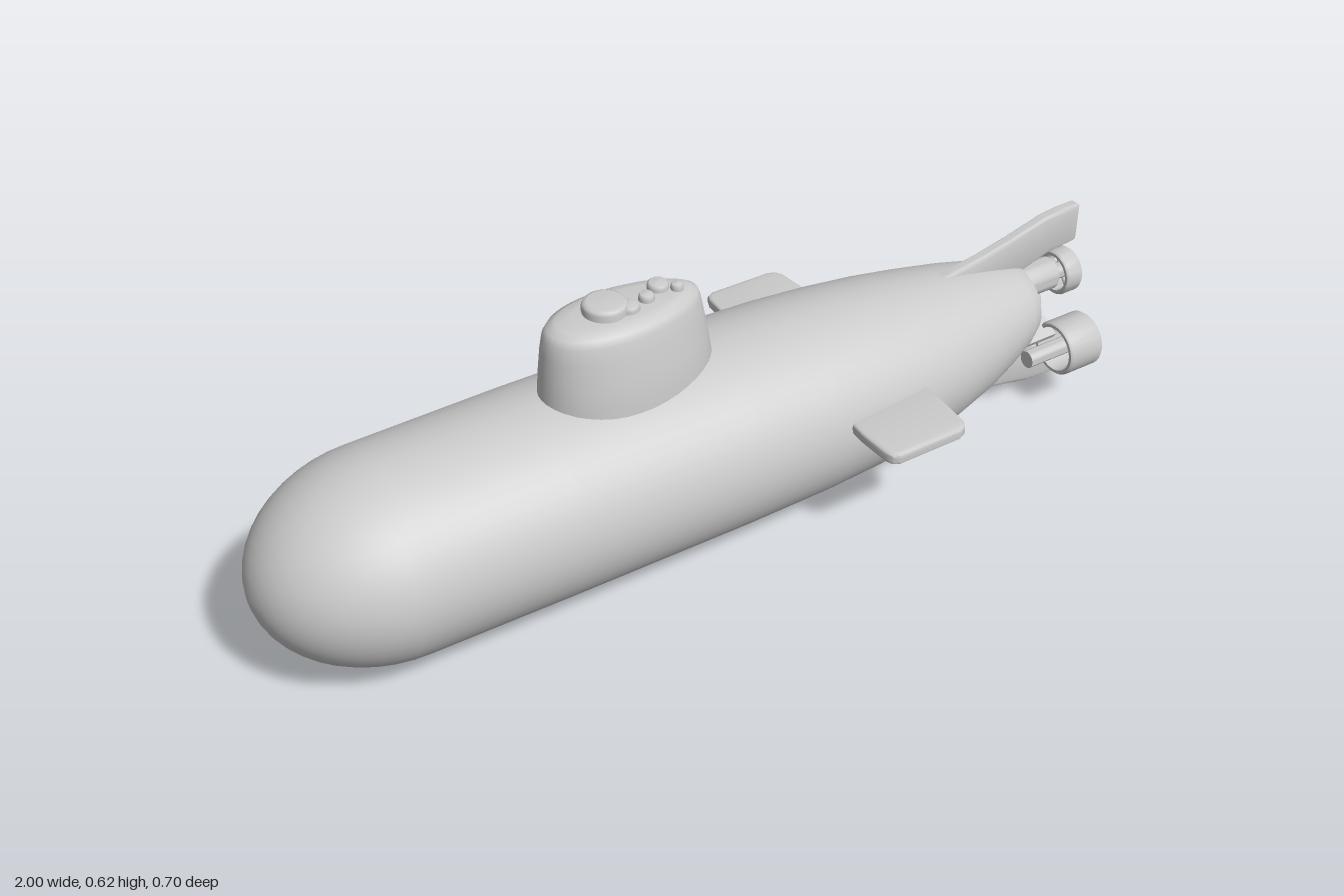
import * as THREE from 'three';
import { toCreasedNormals } from 'three/addons/utils/BufferGeometryUtils.js';

const material = new THREE.MeshStandardMaterial({ color: 0xcccccc });

function addMesh(parent, name, geometry) {
  const mesh = new THREE.Mesh(geometry, material);
  mesh.name = name;
  parent.add(mesh);
  return mesh;
}

// Skin a row of closed rings (equal point counts) into one smooth surface.
function loft(rings) {
  const n = rings[0].length;
  const index = [];
  for (let i = 0; i < rings.length - 1; i++) {
    for (let j = 0; j < n; j++) {
      const a = i * n + j, b = i * n + (j + 1) % n;
      index.push(a, a + n, b, b, a + n, b + n);
    }
  }
  const geometry = new THREE.BufferGeometry();
  geometry.setAttribute('position', new THREE.Float32BufferAttribute(rings.flat(2), 3));
  geometry.setIndex(index);
  geometry.computeVertexNormals();
  return geometry;
}

function ring(count, pointAt) {
  return Array.from({ length: count }, (_, j) => {
    const a = (j / count) * Math.PI * 2;
    return pointAt(Math.cos(a), Math.sin(a));
  });
}

// Hull: elliptical sections along x, with a round bow and a tapered stern.
function hullGeometry() {
  const sections = []; // x, top, bottom, half width
  for (let i = 0; i <= 12; i++) {
    const t = (i / 12) * Math.PI / 2, s = Math.sin(t);
    sections.push([-0.72 - 0.28 * Math.cos(t), 0.225 + 0.21 * s, 0.225 - 0.205 * s, 0.226 * s]);
  }
  sections.push(
    [-0.4, 0.44, 0.016, 0.229], [0, 0.438, 0.013, 0.229], [0.2, 0.431, 0.014, 0.224],
    [0.33, 0.421, 0.02, 0.216], [0.45, 0.408, 0.031, 0.203], [0.55, 0.394, 0.049, 0.184],
    [0.65, 0.378, 0.076, 0.159], [0.73, 0.361, 0.107, 0.133], [0.79, 0.346, 0.137, 0.111],
    [0.82, 0.336, 0.16, 0.094], [0.832, 0.32, 0.18, 0.075], [0.835, 0.25, 0.25, 0]);
  return loft(sections.map(([x, top, bottom, w]) =>
    ring(48, (c, s) => [x, (top + bottom) / 2 + s * (top - bottom) / 2, c * w])));
}

// Conning tower: egg-shaped horizontal sections rising to a rounded top.
function towerGeometry() {
  const sections = [ // y, rear x, front x, half width
    [0.39, 0.004, -0.378, 0.107], [0.44, 0.002, -0.376, 0.106], [0.49, -0.006, -0.372, 0.1],
    [0.54, -0.015, -0.367, 0.091], [0.57, -0.021, -0.362, 0.085], [0.585, -0.027, -0.353, 0.078],
    [0.594, -0.042, -0.335, 0.064], [0.597, -0.07, -0.3, 0.045], [0.598, -0.19, -0.19, 0]];
  return loft(sections.map(([y, rear, front, w]) => ring(40, (c, s) =>
    [(rear + front) / 2 + c * (rear - front) / 2, y, s * w * (1 - 0.12 * c)])));
}

// Rounded plate from an outline, centred on its own thickness.
function plate(outline, thickness) {
  const bevel = 0.009;
  const shape = new THREE.Shape(outline.map(([x, y]) => new THREE.Vector2(x, y)));
  const geometry = new THREE.ExtrudeGeometry(shape, {
    depth: thickness - 2 * bevel, bevelThickness: bevel, bevelSize: bevel,
    bevelOffset: -bevel, bevelSegments: 3
  });
  geometry.translate(0, 0, bevel - thickness / 2);
  return toCreasedNormals(geometry, 0.7);
}

// Turned part around the x axis; profile points are [radius, x].
function turned(profile, segments = 32) {
  const geometry = new THREE.LatheGeometry(profile.map(([r, x]) => new THREE.Vector2(r, x)), segments);
  geometry.rotateZ(-Math.PI / 2);
  return toCreasedNormals(geometry, 0.7);
}

// Thruster: open duct with a hub, spoke-like blades and a pointed cap, rear face at x = 0.
function thruster(name, radius, length, hub, shaftLength, blades) {
  const group = new THREE.Group();
  group.name = name;
  const inner = radius - 0.011;
  addMesh(group, 'duct', turned([
    [inner, -length], [radius - 0.004, -length], [radius, -length + 0.005], [radius, -0.005],
    [radius - 0.004, 0], [inner + 0.002, 0], [inner, -0.004], [inner, -length]]));
  addMesh(group, 'hub', turned([
    [0, -shaftLength], [hub, -shaftLength], [hub, -0.012], [hub * 0.8, 0],
    [0.011, 0.003], [0.009, 0.014], [0, 0.026]], 20));
  for (let i = 0; i < blades; i++) {
    const arm = new THREE.Group();
    arm.rotation.x = ((i + 0.5) / blades) * Math.PI * 2;
    const blade = addMesh(arm, 'blade', new THREE.CylinderGeometry(0.0045, 0.0065, inner - hub * 0.4 + 0.003, 8));
    blade.scale.x = 1.8;
    blade.position.set(-0.014, (inner + hub * 0.4) / 2, 0);
    group.add(arm);
  }
  return group;
}

export function createModel() {
  const model = new THREE.Group();
  model.name = 'submarine';
  addMesh(model, 'hull', hullGeometry());

  // Conning tower with its hatch and small roof fittings
  const tower = new THREE.Group();
  tower.name = 'conningTower';
  model.add(tower);
  addMesh(tower, 'towerBody', towerGeometry());
  const dome = (name, x, z, r, top) => {
    const mesh = addMesh(tower, name, new THREE.LatheGeometry(
      [[r, 0.585], [r, top - 0.009], [r * 0.92, top - 0.003], [r * 0.75, top], [0, top + 0.001]]
        .map(([a, b]) => new THREE.Vector2(a, b)), 24));
    mesh.position.set(x, 0, z);
  };
  dome('hatch', -0.23, 0, 0.046, 0.619);
  dome('hatchHinge', -0.19, 0.022, 0.022, 0.612);
  dome('roofFitting', -0.145, 0.012, 0.016, 0.612);
  dome('roofFitting', -0.105, -0.012, 0.022, 0.612);
  dome('roofFitting', -0.075, 0.01, 0.013, 0.61);

  // Vertical tail fins
  addMesh(model, 'upperFin', plate([
    [0.56, 0.37], [0.6, 0.386], [0.7, 0.402], [0.78, 0.42], [0.88, 0.447], [0.93, 0.452],
    [0.97, 0.452], [0.977, 0.446], [0.977, 0.362], [0.97, 0.356], [0.9, 0.35], [0.82, 0.325], [0.7, 0.31]], 0.028));
  addMesh(model, 'lowerFin', plate([
    [0.56, 0.07], [0.6, 0.049], [0.7, 0.04], [0.8, 0.02], [0.88, 0.004], [0.97, 0],
    [0.977, 0.007], [0.977, 0.078], [0.97, 0.085], [0.9, 0.092], [0.865, 0.12], [0.845, 0.2],
    [0.82, 0.24], [0.7, 0.18]], 0.027));

  // Diving planes, one outline mirrored to both sides
  for (const side of [1, -1]) {
    const outline = [
      [0.215, 0.18], [0.21, 0.25], [0.213, 0.325], [0.22, 0.342], [0.235, 0.35], [0.385, 0.35],
      [0.403, 0.342], [0.413, 0.325], [0.421, 0.25], [0.421, 0.18]];
    const plane = addMesh(model, side > 0 ? 'leftDivingPlane' : 'rightDivingPlane', plate(outline, 0.027));
    plane.rotation.x = side * Math.PI / 2;
    plane.position.y = 0.267;
  }

  // Centre thruster behind its motor housing, and two lower thrusters
  const centre = thruster('centreThruster', 0.053, 0.045, 0.018, 0.09, 6);
  centre.position.set(0.974, 0.279, 0);
  model.add(centre);
  addMesh(model, 'motorHousing', turned([
    [0, -0.1], [0.038, -0.1], [0.038, 0.002], [0.034, 0.008], [0, 0.008]])).position.set(0.912, 0.285, 0);
  for (const side of [1, -1]) {
    const lower = thruster(side > 0 ? 'leftThruster' : 'rightThruster', 0.063, 0.092, 0.02, 0.17, 8);
    lower.position.set(0.951, 0.156, side * 0.104);
    model.add(lower);
    // Bracket joining the duct to the stern
    const bracket = addMesh(model, 'thrusterBracket', new THREE.BoxGeometry(0.1, 0.014, 0.05));
    bracket.position.set(0.83, 0.185, side * 0.06);
    bracket.rotation.x = side * 0.5;
  }
  return model;
}
